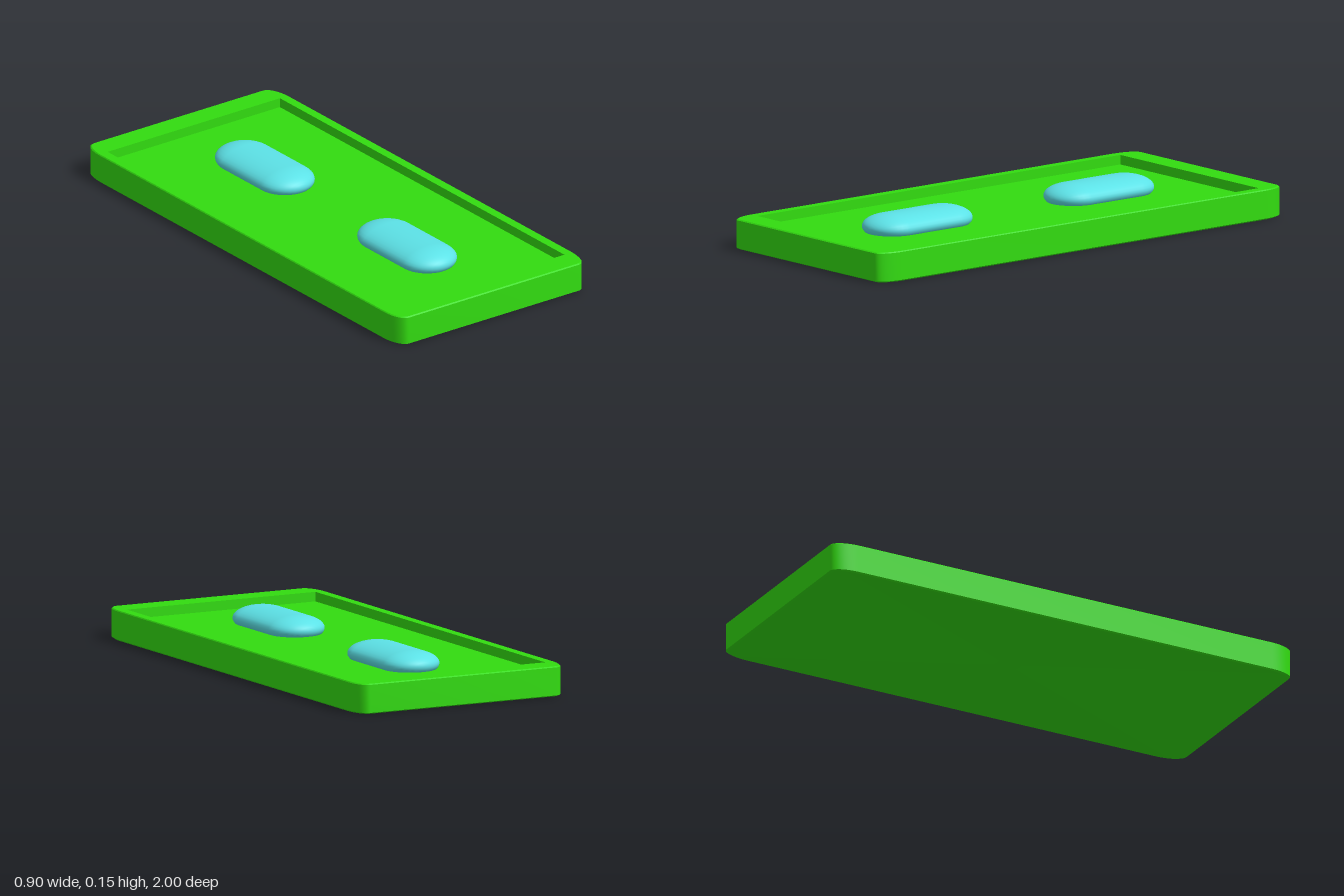
import * as THREE from 'three';
import { toCreasedNormals } from 'three/addons/utils/BufferGeometryUtils.js';

const ARC = 8; // segments per rounded corner

// Rectangle outline with elliptical corners at height y
function ring(hx, hz, rx, rz, y) {
  const points = [];
  for (let corner = 0; corner < 4; corner++) {
    const sx = corner === 0 || corner === 3 ? 1 : -1;
    const sz = corner < 2 ? 1 : -1;
    for (let i = 0; i <= ARC; i++) {
      const a = (corner + i / ARC) * Math.PI / 2;
      points.push(new THREE.Vector3(
        sx * (hx - rx) + rx * Math.cos(a), y, sz * (hz - rz) + rz * Math.sin(a)));
    }
  }
  return points;
}

// Skin a sequence of outlines, leaving out collapsed triangles
function loft(rings) {
  const positions = [];
  const triangle = (a, b, c) => {
    if (new THREE.Triangle(a, b, c).getArea() > 1e-9) {
      for (const p of [a, b, c]) positions.push(p.x, p.y, p.z);
    }
  };
  for (let r = 0; r < rings.length - 1; r++) {
    const low = rings[r], high = rings[r + 1], n = low.length;
    for (let i = 0; i < n; i++) {
      const j = (i + 1) % n;
      triangle(low[i], high[i], high[j]);
      triangle(low[i], high[j], low[j]);
    }
  }
  const geometry = new THREE.BufferGeometry();
  geometry.setAttribute('position', new THREE.Float32BufferAttribute(positions, 3));
  return toCreasedNormals(geometry, 0.5);
}

export function createModel() {
  const green = new THREE.MeshStandardMaterial({ color: 0x32dc10 });
  green.name = 'green';
  const cyan = new THREE.MeshStandardMaterial({ color: 0x5ce1e6 });
  cyan.name = 'cyan';

  const model = new THREE.Group();
  model.name = 'trayWithPads';

  // Shallow tray: underside, softened edges, rim and sunken floor
  const tray = new THREE.Mesh(loft([
    ring(0, 0, 0, 0, 0),
    ring(0.445, 0.99, 0.045, 0.1, 0),
    ring(0.45, 1, 0.045, 0.1, 0.005),
    ring(0.45, 1, 0.045, 0.1, 0.113),
    ring(0.447, 0.995, 0.045, 0.1, 0.117),
    ring(0.41, 0.9, 0, 0, 0.117),
    ring(0.41, 0.9, 0, 0, 0.08),
    ring(0, 0, 0, 0, 0.08),
  ]), green);
  tray.name = 'tray';
  model.add(tray);

  // Two flattened capsule pads resting in the floor
  const padGeometry = new THREE.CapsuleGeometry(0.115, 0.25, 10, 32);
  padGeometry.rotateX(Math.PI / 2);
  padGeometry.scale(1, 0.05 / 0.115, 1);
  for (const [name, z] of [['frontPad', 0.45], ['backPad', -0.45]]) {
    const pad = new THREE.Mesh(padGeometry, cyan);
    pad.name = name;
    pad.position.set(0, 0.101, z);
    model.add(pad);
  }
  return model;
}
